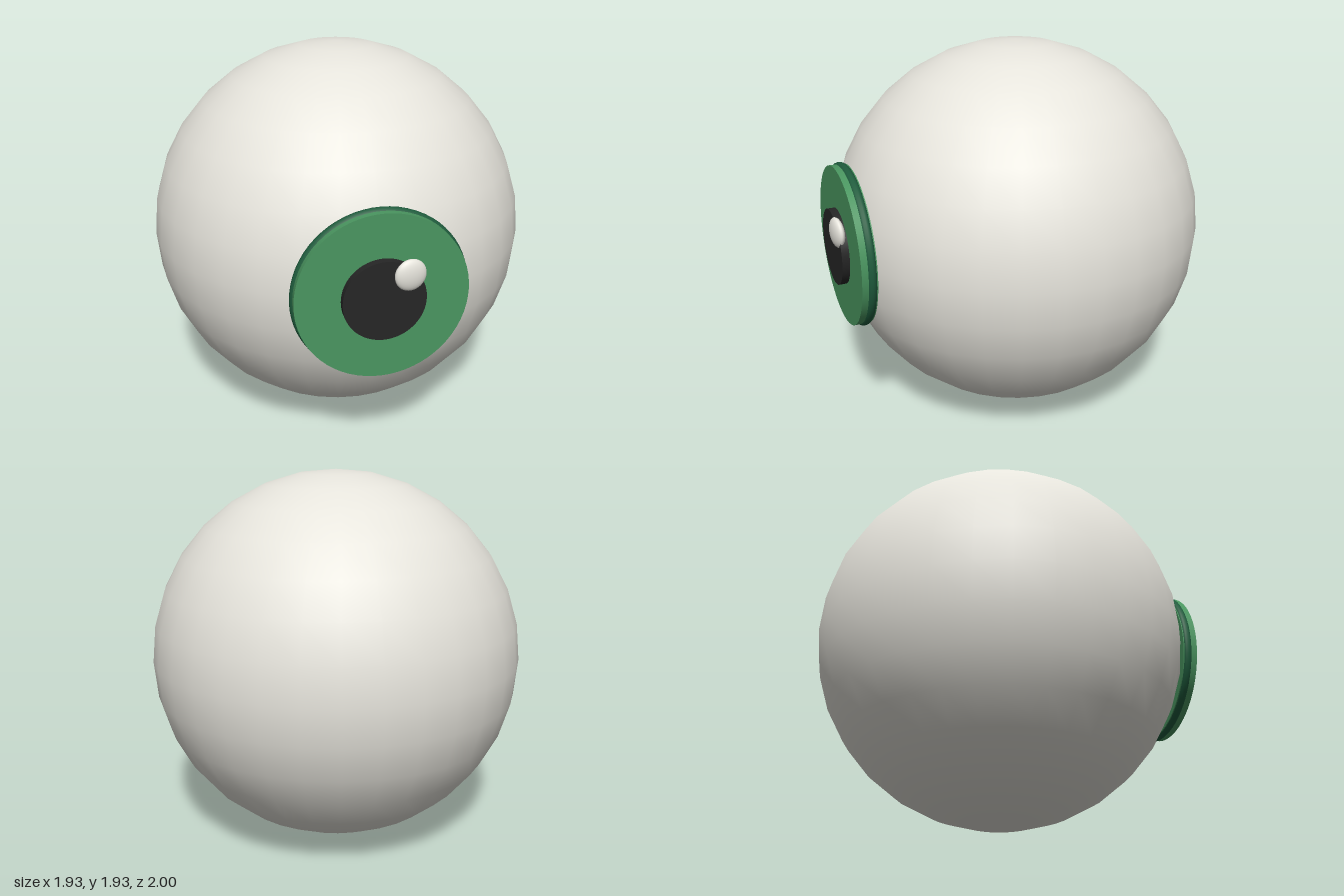
import * as THREE from 'three';

const material = (name, color) => {
  const m = new THREE.MeshStandardMaterial({ color });
  m.name = name;
  return m;
};

export function createModel() {
  const model = new THREE.Group();
  model.name = 'eyeball';
  const white = material('warm white', 0xe6e4dc);
  const green = material('iris green', 0x4a9660);
  const darkGreen = material('dark green', 0x1f5c3d);
  const black = material('pupil black', 0x262626);
  const centreY = 0.967;

  const add = (name, geometry, mat, x, y, z) => {
    const mesh = new THREE.Mesh(geometry, mat);
    mesh.name = name;
    mesh.position.set(x, y, z);
    model.add(mesh);
    return mesh;
  };

  // Disc facing forward, between two depths
  const disc = (name, radius, back, front, mat) => {
    const geometry = new THREE.CylinderGeometry(radius, radius, front - back, 64);
    geometry.rotateX(Math.PI / 2);
    return add(name, geometry, mat, 0, centreY, (back + front) / 2);
  };

  // Ball
  add('eyeWhite', new THREE.SphereGeometry(0.965, 32, 16), white, 0, centreY, -0.035);

  // Iris, its rim and the pupil
  disc('iris', 0.405, 0.855, 0.932, green);
  add('irisRim', new THREE.TorusGeometry(0.392, 0.024, 12, 64), darkGreen, 0, centreY, 0.88);
  disc('pupil', 0.193, 0.91, 0.97, black);

  // Flattened, slightly turned glint
  const glint = add('glint', new THREE.SphereGeometry(0.076, 24, 16), white, 0.115, centreY + 0.118, 0.967);
  glint.scale.z = 0.38;
  glint.rotation.y = 0.13;

  return model;
}
